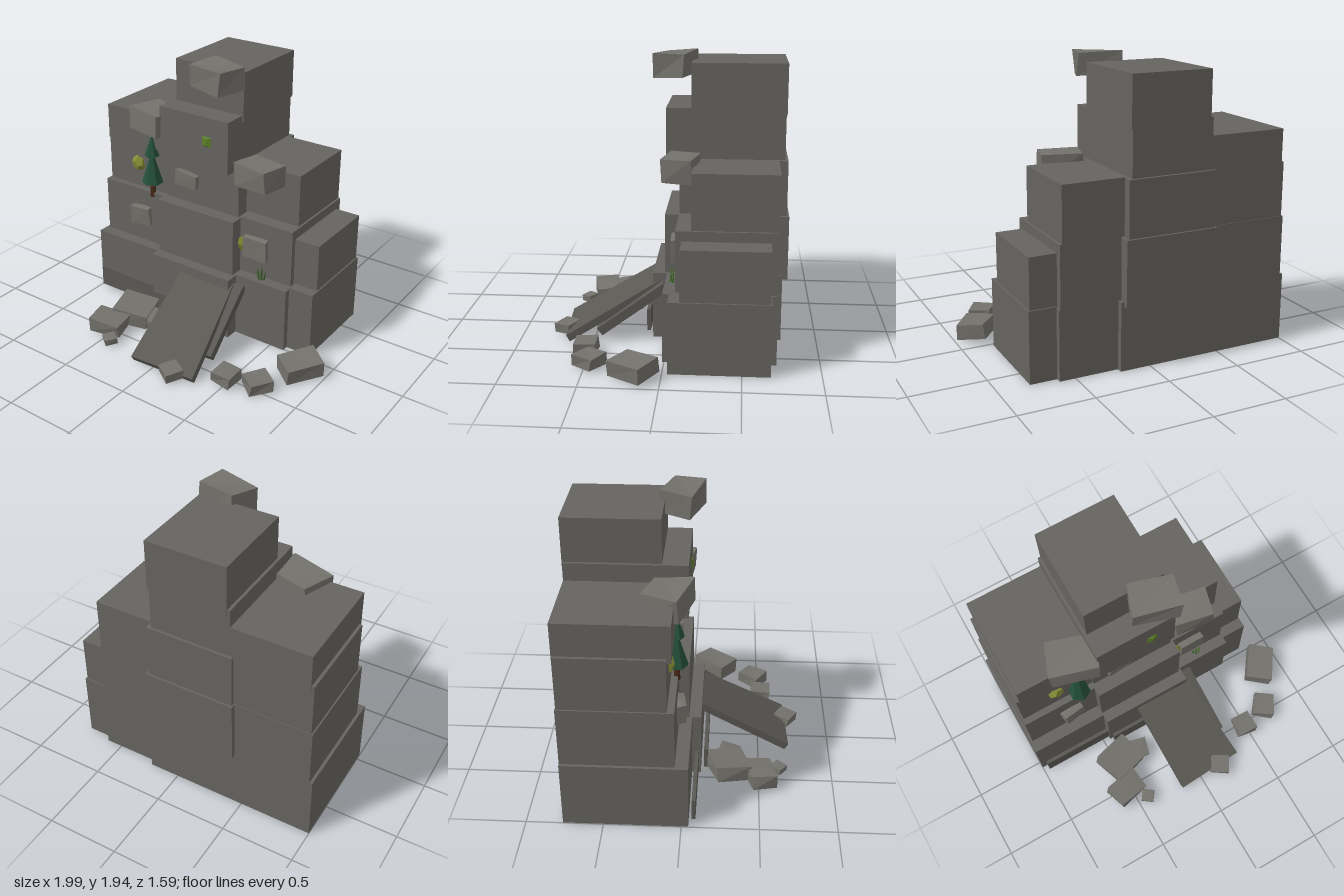
import * as THREE from 'three';

const mat = (color) => new THREE.MeshStandardMaterial({ color, flatShading: true, side: THREE.DoubleSide });

export function createModel() {
  const model = new THREE.Group();
  const stone = mat(0x66645f);
  const slabStone = mat(0x5a5853);
  const paleStone = mat(0x73716b);
  const bark = mat(0x4a2a18);
  const needles = mat(0x24503a);

  const add = (name, geometry, material, parent = model) => {
    const mesh = new THREE.Mesh(geometry, material);
    mesh.name = name;
    parent.add(mesh);
    return mesh;
  };

  // Axis-aligned block from its extents
  const block = (name, x0, x1, y0, y1, z0, z1, material = stone) => {
    const mesh = add(name, new THREE.BoxGeometry(x1 - x0, y1 - y0, z1 - z0), material);
    mesh.position.set((x0 + x1) / 2, (y0 + y1) / 2, (z0 + z1) / 2);
  };

  // Irregular boulder: a box with each of its corners nudged by a repeatable rule
  const boulder = (name, pos, size, rot, seed, material = paleStone) => {
    const g = new THREE.BoxGeometry(...size);
    const p = g.attributes.position;
    for (let i = 0; i < p.count; i++) {
      const v = new THREE.Vector3().fromBufferAttribute(p, i);
      const corner = (v.x > 0 ? 1 : 0) + (v.y > 0 ? 2 : 0) + (v.z > 0 ? 4 : 0);
      const k = (n) => 0.96 + 0.09 * Math.sin(seed * 7.1 + corner * 2.3 + n * 4.7);
      p.setXYZ(i, v.x * k(1), v.y * k(2), v.z * k(3));
    }
    g.computeVertexNormals();
    const mesh = add(name, g, material);
    mesh.position.set(...pos);
    mesh.rotation.set(...rot, 'YXZ');
  };

  // Cliff: stacked courses of big blocks
  const cliff = [
    ['base', -1, -0.45, 0, 0.46, -0.76, 0.045],
    ['base', -0.45, 0.21, 0, 0.46, -0.76, 0.105],
    ['base', 0.21, 0.61, 0, 0.465, -0.72, 0.01],
    ['base', 0.61, 0.79, 0, 0.475, -0.68, -0.035],
    ['second', -0.98, -0.45, 0.45, 0.865, -0.76, -0.04],
    ['second', -0.45, 0.19, 0.43, 0.865, -0.795, 0.025],
    ['second', 0.19, 0.6, 0.45, 0.875, -0.72, -0.07],
    ['second', 0.58, 0.78, 0.46, 0.81, -0.67, -0.11],
    ['third', -0.97, -0.44, 0.86, 1.23, -0.755, -0.085],
    ['third', -0.44, 0.17, 0.86, 1.235, -0.78, -0.07],
    ['third', 0.17, 0.585, 0.87, 1.24, -0.72, -0.17],
    ['fourth', -0.95, -0.42, 1.2, 1.45, -0.76, -0.055],
    ['fourth', -0.42, 0.14, 1.2, 1.57, -0.76, 0.02],
    ['top', -0.4, 0.15, 1.53, 1.865, -0.765, -0.145],
  ];
  cliff.forEach(([course, ...e]) => block(course + 'CourseBlock', ...e));

  // Thin ledges along the foot of the cliff
  block('footLedge', -0.96, -0.45, 0.03, 0.18, 0.065, 0.09, slabStone);
  block('footLedge', -0.43, 0.17, 0.03, 0.18, 0.125, 0.15, slabStone);

  // Fallen slabs leaning on the cliff; the top edge can be narrower than the foot
  const leaningSlab = (name, pos, [w, t, l], taper, rot) => {
    const g = new THREE.BoxGeometry(w, t, l);
    const p = g.attributes.position;
    for (let i = 0; i < p.count; i++) if (p.getZ(i) < 0 && p.getX(i) > 0) p.setX(i, p.getX(i) - taper);
    g.computeVertexNormals();
    const mesh = add(name, g, slabStone);
    mesh.position.set(...pos);
    mesh.rotation.set(...rot, 'YXZ');
  };
  leaningSlab('leaningSlab', [0.063, 0.205, 0.37], [0.49, 0.05, 0.74], 0.07, [0.53, 0.06, 0]);
  leaningSlab('sideSlab', [0.23, 0.23, 0.24], [0.15, 0.06, 0.55], 0, [0.62, 0.09, 0]);

  // Jutting boulders on the ledges
  boulder('ledgeBoulder', [0.015, 1.845, -0.035], [0.31, 0.16, 0.22], [0.05, -0.26, 0], 1);
  boulder('ledgeBoulder', [-0.54, 1.415, -0.1], [0.33, 0.16, 0.25], [0, -0.25, 0], 2);
  boulder('ledgeBoulder', [0.32, 1.215, -0.09], [0.28, 0.16, 0.21], [0.03, -0.13, 0], 3);

  // Stones set in the face
  boulder('faceStone', [-0.25, 1.045, -0.06], [0.18, 0.11, 0.07], [0, 0.1, -0.14], 4);
  boulder('faceStone', [-0.645, 0.67, -0.03], [0.16, 0.14, 0.08], [0, 0.15, 0.03], 5);
  boulder('faceStone', [0.325, 0.68, -0.06], [0.19, 0.16, 0.07], [0, 0, 0.02], 6);

  // Rubble on the ground: position, size, turn, tilt
  const rubble = [
    [[-0.465, 0.085, 0.295], [0.27, 0.11, 0.25], 0.35, 0.12],
    [[-0.53, 0.07, 0.51], [0.24, 0.1, 0.18], 0.25, 0.1],
    [[-0.31, 0.06, 0.29], [0.14, 0.09, 0.14], -0.2, 0.1],
    [[-0.42, 0.035, 0.635], [0.09, 0.045, 0.09], -0.7, 0.05],
    [[0.165, 0.045, 0.7], [0.14, 0.065, 0.13], -0.6, 0.05],
    [[0.485, 0.045, 0.525], [0.15, 0.08, 0.15], -0.08, 0.03],
    [[0.695, 0.045, 0.47], [0.16, 0.08, 0.17], -0.6, 0.02],
    [[0.84, 0.068, 0.175], [0.2, 0.11, 0.27], -0.58, 0.08],
  ];
  rubble.forEach(([pos, size, turn, tilt], i) =>
    boulder('rubble', pos, size, [tilt, turn, -tilt], 10 + i));

  // Moss clumps
  const moss = [
    [-0.03, 1.4, 0.0, 0x5c8028], [-0.705, 1.045, -0.085, 0x848c36], [0.215, 0.68, -0.07, 0x76822c],
  ];
  moss.forEach(([x, y, z, color], i) => {
    const mesh = add('mossClump', new THREE.DodecahedronGeometry(0.06), mat(color));
    mesh.position.set(x, y, z);
    mesh.scale.set(1, 1, 0.6);
    mesh.rotation.z = i * 0.7;
  });

  // Small conifer on a ledge
  const tree = new THREE.Group();
  tree.name = 'conifer';
  tree.position.set(-0.555, 0.835, -0.05);
  model.add(tree);
  add('trunk', new THREE.CylinderGeometry(0.016, 0.024, 0.14, 5), bark, tree).position.y = 0.07;
  [[0.077, 0.25, 0.11], [0.053, 0.16, 0.315]].forEach(([r, h, y]) => {
    add('foliage', new THREE.ConeGeometry(r, h, 6), needles, tree).position.y = y + h / 2;
  });

  // Grass tuft
  const grass = mat(0x3f6a28);
  for (let i = 0; i < 5; i++) {
    const h = 0.07 + 0.045 * Math.sin((i + 0.5) / 5 * Math.PI);
    const blade = add('grassBlade', new THREE.ConeGeometry(0.01, h, 3), grass);
    blade.position.set(0.352 + i * 0.014, 0.455 + h / 2, -0.045 + 0.015 * (i % 2));
    blade.rotation.z = (2 - i) * 0.08;
  }
  return model;
}
